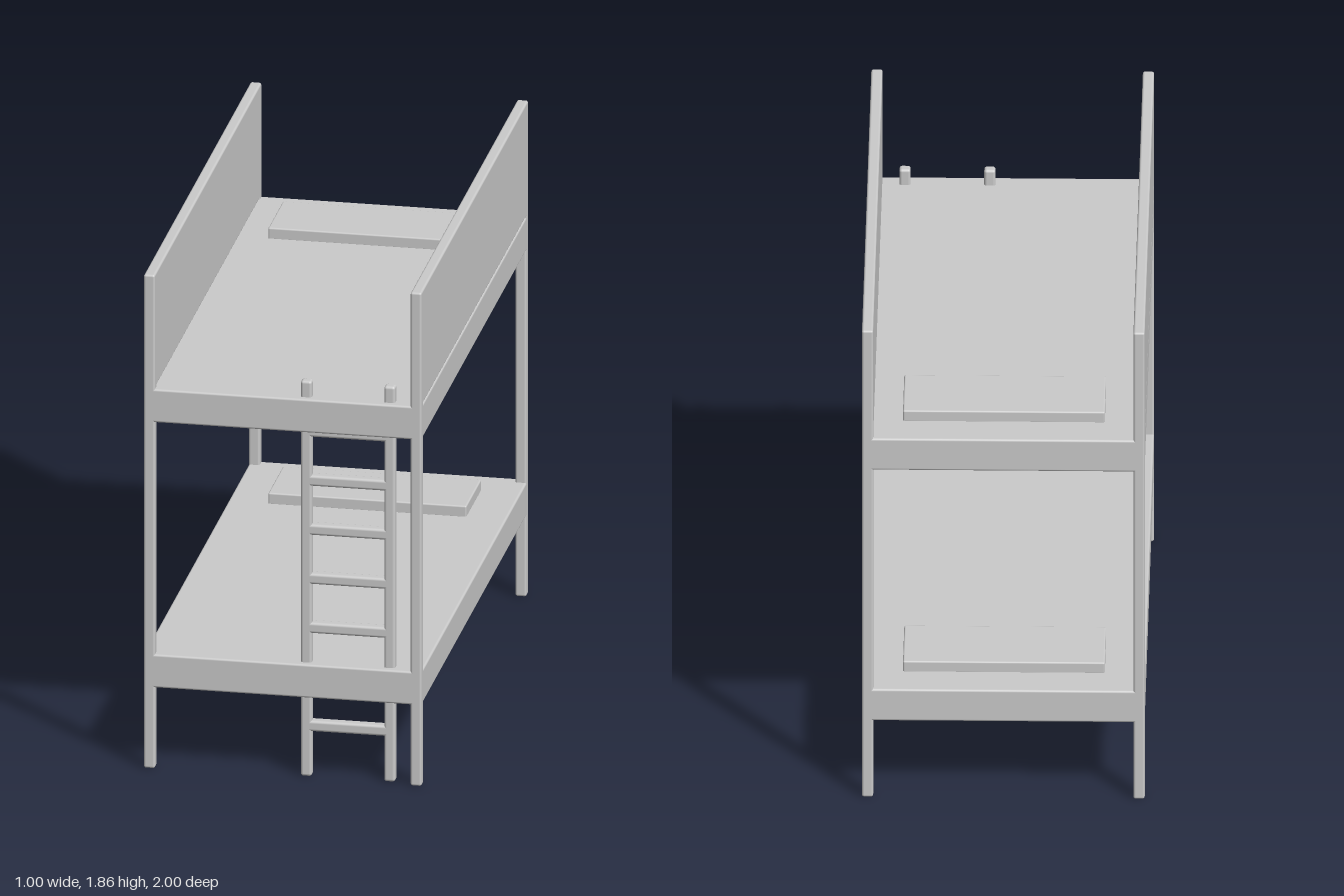
import * as THREE from 'three';
import { RoundedBoxGeometry } from 'three/addons/geometries/RoundedBoxGeometry.js';

const material = new THREE.MeshStandardMaterial({ color: 0xcccccc });

// Soft-edged box given by its min and max corners
function block(parent, name, [x0, y0, z0], [x1, y1, z1], radius = 0.008) {
  const geometry = new RoundedBoxGeometry(x1 - x0, y1 - y0, z1 - z0, 2, radius);
  const mesh = new THREE.Mesh(geometry, material);
  mesh.position.set((x0 + x1) / 2, (y0 + y1) / 2, (z0 + z1) / 2);
  mesh.name = name;
  parent.add(mesh);
}

function group(parent, name) {
  const g = new THREE.Group();
  g.name = name;
  parent.add(g);
  return g;
}

export function createModel() {
  const bed = new THREE.Group();
  bed.name = 'bunkBed';

  // Corner posts and the side guard boards between them
  const frame = group(bed, 'frame');
  for (const [side, x] of [['right', -0.5], ['left', 0.46]]) {
    for (const [end, z] of [['Back', -1], ['Front', 0.96]]) {
      block(frame, `${side}${end}Post`, [x, 0, z], [x + 0.04, 1.86, z + 0.04]);
    }
    block(frame, `${side}GuardBoard`, [x, 1.433, -1], [x + 0.04, 1.86, 1]);
  }

  // Two bunks, each with a mattress deck and a flat pillow
  for (const [name, y] of [['lowerBunk', 0.305], ['upperBunk', 1.305]]) {
    const bunk = group(bed, name);
    block(bunk, 'deck', [-0.5, y, -1], [0.5, y + 0.125, 1]);
    block(bunk, 'pillow', [-0.357, y + 0.12, -0.86], [0.357, y + 0.165, -0.583], 0.006);
  }

  // Ladder passing through the front end of both decks
  const ladder = group(bed, 'ladder');
  for (const [name, x] of [['innerRail', 0.06], ['outerRail', 0.36]]) {
    block(ladder, name, [x, 0, 0.936], [x + 0.04, 1.49, 0.976], 0.01);
  }
  for (let i = 0; i < 7; i++) {
    const y = 0.17 + i * 0.185;
    block(ladder, `rung${i + 1}`, [0.08, y, 0.936], [0.38, y + 0.04, 0.976], 0.01);
  }

  return bed;
}
